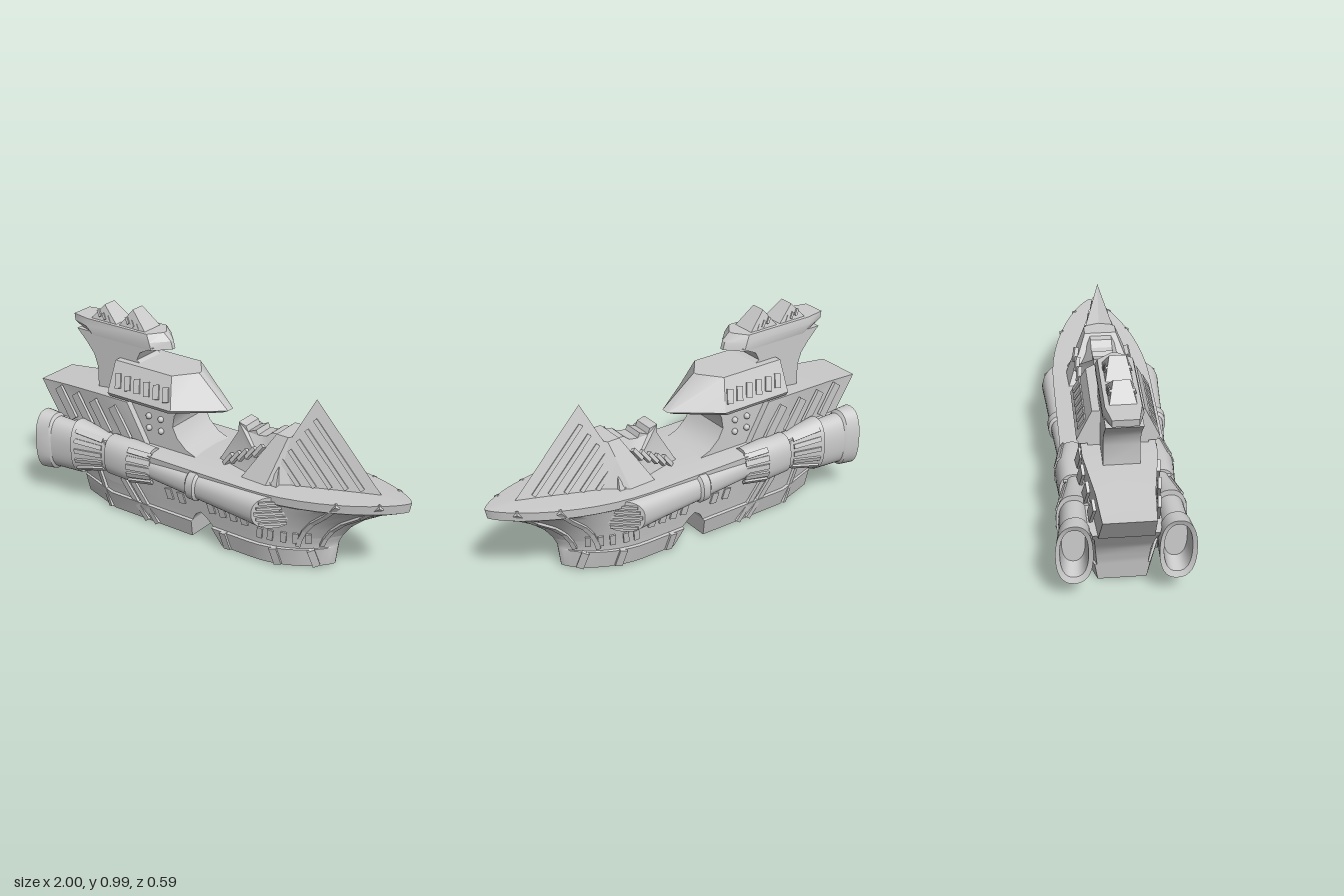
import * as THREE from 'three';
import { toCreasedNormals } from 'three/addons/utils/BufferGeometryUtils.js';

const V = (x, y, z) => new THREE.Vector3(x, y, z);
const mat = new THREE.MeshStandardMaterial({ color: 0xcccccc });
let root;

function add(name, geo, crease = 0.5) {
  const m = new THREE.Mesh(crease ? toCreasedNormals(geo, crease) : geo, mat);
  m.name = name;
  root.add(m);
  return m;
}

// Closed skin through rings of equal point count, capped at both ends
function loft(rings) {
  const pos = [], n = rings[0].length;
  const tri = (a, b, c) => pos.push(a.toArray(), b.toArray(), c.toArray());
  for (let r = 0; r < rings.length - 1; r++) for (let i = 0; i < n; i++) {
    const j = (i + 1) % n, A = rings[r], B = rings[r + 1];
    tri(A[i], A[j], B[j]);
    tri(A[i], B[j], B[i]);
  }
  [rings[0], rings.at(-1)].forEach((R, k) => {
    const c = R.reduce((s, p) => s.add(p), V(0, 0, 0)).divideScalar(n);
    for (let i = 0; i < n; i++) {
      const j = (i + 1) % n;
      k ? tri(c, R[i], R[j]) : tri(c, R[j], R[i]);
    }
  });
  // turn the skin outward if its volume comes out negative
  let vol = 0;
  for (let i = 0; i < pos.length; i += 3) vol += V(...pos[i]).dot(V(...pos[i + 1]).cross(V(...pos[i + 2])));
  if (vol < 0) pos.reverse();
  const g = new THREE.BufferGeometry();
  g.setAttribute('position', new THREE.Float32BufferAttribute(pos.flat(), 3));
  return g;
}

// Symmetric plan outline [x, halfWidth] at height y
const plan = (pts, y) => [...pts.map(([x, z]) => V(x, y, z)), ...[...pts].reverse().map(([x, z]) => V(x, y, -z))];

// Side profile extruded across z, half width given by a rule
function slab(name, pts, half) {
  const g = new THREE.ExtrudeGeometry(new THREE.Shape(pts.map(p => new THREE.Vector2(...p))), { depth: 2, bevelEnabled: false });
  const p = g.attributes.position;
  for (let i = 0; i < p.count; i++) p.setZ(i, (p.getZ(i) - 1) * half(p.getX(i), p.getY(i)));
  return add(name, g);
}

// Flat bar from p to q, lying on a surface with normal n
function bar(name, p, q, w, n, t = 0.014) {
  const d = q.clone().sub(p), x = d.clone().normalize();
  const y = n.clone().cross(x).normalize(), z = x.clone().cross(y);
  const g = new THREE.BoxGeometry(d.length(), w, t);
  g.applyMatrix4(new THREE.Matrix4().makeBasis(x, y, z).setPosition(p.clone().add(q).multiplyScalar(0.5)));
  add(name, g, 0);
}

// Linear lookup in a small table
function tab(t, v) {
  for (let i = 1; i < t.length; i++) if (v <= t[i][0] || i === t.length - 1) {
    const k = THREE.MathUtils.clamp((v - t[i - 1][0]) / (t[i][0] - t[i - 1][0]), 0, 1);
    return THREE.MathUtils.lerp(t[i - 1][1], t[i][1], k);
  }
}

// Hull rules: stern and bow position, half width and sheer
const bowX = y => tab([[0, 0.64], [0.11, 0.655], [0.15, 0.675], [0.2, 0.715], [0.25, 0.78], [0.3, 0.88], [0.325, 0.96], [0.335, 0.99], [0.375, 1]], y);
const sternX = y => tab([[0, -0.72], [0.11, -0.735], [0.2, -0.76], [0.375, -0.88]], y);
const wide = y => tab([[0, 0.178], [0.09, 0.2], [0.093, 0.185], [0.11, 0.187], [0.325, 0.218], [0.335, 0.232], [0.375, 0.235]], y);
function halfW(x, y) {
  const u = THREE.MathUtils.clamp((x - 0.3) / (bowX(y) - 0.3), 0, 1);
  const s = THREE.MathUtils.clamp((-0.5 - x) / (-0.5 - sternX(y)), 0, 1);
  return wide(y) * Math.pow(1 - u * u, 0.75) * (1 - 0.4 * s);
}
const hullPt = (x, y, s = 1) => V(x, y + 0.045 * (y / 0.375) * Math.pow(Math.max(0, (x - 0.3) / 0.7), 1.5), s * halfW(x, y));
function hullN(x, y, s) {
  const dx = hullPt(x + 0.01, y, s).sub(hullPt(x - 0.01, y, s)), dy = hullPt(x, y + 0.01, s).sub(hullPt(x, y - 0.01, s));
  return dx.cross(dy).multiplyScalar(s);
}
function hullPart(name, ys, x0, x1, mids, bow) {
  add(name, loft(ys.map(y => {
    const xs = [x0(y), ...mids];
    if (bow) for (let i = 1; i <= 12; i++) xs.push(0.3 + (bowX(y) - 0.3) * Math.sin(i / 12 * Math.PI / 2));
    else xs.push(x1(y));
    const a = xs.map(x => hullPt(x, y));
    return [...a, ...a.map(p => V(p.x, p.y, -p.z)).reverse()];
  })), 0.45);
}

// Rounded-oval ring of a side engine
const POW = 2.4;
const oval = ([x, cy, cz, ry, rz], s, slant = 0) => Array.from({ length: 32 }, (_, i) => {
  const a = i / 32 * Math.PI * 2, f = v => Math.sign(v) * Math.pow(Math.abs(v), 2 / POW);
  const dz = rz * f(Math.cos(a));
  return V(x - slant * dz, cy + ry * f(Math.sin(a)), s * (cz + dz));
});

function engine(s) {
  const body = (name, rows) => add(name, loft(rows.map(r => oval(r, s))), 0.5);
  body('nozzle', [[-0.8, 0.285, 0.215, 0.105, 0.05], [-0.88, 0.285, 0.217, 0.125, 0.06], [-0.89, 0.285, 0.217, 0.153, 0.079],
    [-0.82, 0.285, 0.212, 0.146, 0.073], [-0.81, 0.285, 0.21, 0.13, 0.068], [-0.65, 0.285, 0.205, 0.122, 0.064]]);
  body('engineHousing', [[-0.68, 0.3, 0.205, 0.135, 0.075], [-0.5, 0.3, 0.185, 0.092, 0.05], [-0.47, 0.3, 0.185, 0.09, 0.05]]);
  body('engineCowl', [[-0.49, 0.3, 0.19, 0.1, 0.066], [-0.36, 0.303, 0.195, 0.103, 0.07], [-0.24, 0.305, 0.185, 0.09, 0.055]]);
  const tube = [[-0.3, 0.305, 0.195, 0.05, 0.045], [0, 0.3, 0.207, 0.06, 0.055], [0.3, 0.295, 0.218, 0.072, 0.062]].map(r => oval(r, s));
  tube.push(oval([0.44, 0.292, 0.222, 0.077, 0.063], s, 1.1));
  add('sideTube', loft(tube));
  body('tubeCollar', [[-0.01, 0.3, 0.207, 0.06, 0.055], [0, 0.3, 0.207, 0.072, 0.067], [0.04, 0.3, 0.208, 0.074, 0.069], [0.05, 0.3, 0.208, 0.062, 0.056]]);
  // intake slats across the slanted tube mouth
  for (let i = -2; i <= 2; i++) {
    const y = 0.292 + i * 0.026, h = 0.056 - Math.abs(i) * 0.007;
    bar('intakeSlat', V(0.44 - 1.1 * h, y, s * (0.222 + h)), V(0.44 + 1.1 * h, y, s * (0.222 - h)), 0.013, V(1, 0, s * 1.1), 0.02);
  }
  // raised strips around housing and cowl mouth
  for (const k of [-0.75, -0.4, 0, 0.4, 0.75]) {
    const o = Math.pow(1 - Math.pow(Math.abs(k), POW), 1 / POW);
    const n = V(0, k, s * 1.2 * o);
    bar('housingStrip', V(-0.66, 0.3 + k * 0.131, s * (0.203 + 0.072 * o)), V(-0.52, 0.3 + k * 0.097, s * (0.188 + 0.053 * o)), 0.022, n);
    bar('cowlTooth', V(-0.35, 0.303 + k * 0.103, s * (0.194 + 0.069 * o)), V(-0.23, 0.305 + k * 0.088, s * (0.184 + 0.054 * o)), 0.026, n);
  }
}

export function createModel() {
  root = new THREE.Group();
  root.name = 'flyingShip';

  // Hull, with an arch dividing the keel
  hullPart('upperHull', [0.15, 0.2, 0.25, 0.3, 0.325, 0.335, 0.375], sternX, null, [-0.5, -0.2, 0.03, 0.3], true);
  const keelYs = [0, 0.09, 0.093, 0.11, 0.13, 0.15];
  hullPart('frontKeel', keelYs, y => tab([[0, 0.14], [0.09, 0.095], [0.13, 0.06], [0.15, 0.03]], y), null, [0.3], true);
  hullPart('rearKeel', keelYs, sternX, y => tab([[0, -0.03], [0.1, -0.02], [0.13, 0], [0.15, 0.03]], y), [-0.5, -0.2], false);

  for (const s of [1, -1]) {
    engine(s);
    const onHull = (name, x1, y1, x2, y2, w, t) =>
      bar(name, hullPt(x1, y1, s), hullPt(x2, y2, s), w, hullN((x1 + x2) / 2, (y1 + y2) / 2, s), t);
    // hull windows
    for (const x of [-0.15, -0.08, 0.09, 0.15, 0.21, 0.27]) onHull('hullWindow', x, 0.225, x + 0.012, 0.17, 0.035);
    for (const x of [0.36, 0.41, 0.47, 0.52, 0.57]) onHull('bowWindow', x, 0.18, x - 0.008, 0.125, 0.026);
    // slanted ribs on the keel
    for (const [x, d] of [[-0.6, 0.08], [-0.42, 0.13], [-0.36, 0.13]]) {
      onHull('sternRib', x, 0.2, x + d * 0.45, 0.1, 0.03, 0.024);
      onHull('keelRib', x + d * 0.45, 0.1, x + d, 0.003, 0.03, 0.024);
    }
    for (const x of [0.16, 0.42, 0.57]) onHull('keelRib', x, 0.09, x + 0.015, 0.003, 0.035, 0.02);
    // ribs sweeping up the bow
    for (const u of [0.62, 0.86]) {
      const ys = [0.11, 0.15, 0.2, 0.25, 0.3, 0.37], X = y => 0.3 + u * (bowX(y) - 0.3);
      for (let i = 1; i < ys.length; i++) onHull('bowRib', X(ys[i - 1]), ys[i - 1], X(ys[i]), ys[i], 0.022, 0.022);
    }
    // rivets
    for (const x of [-0.31, -0.24]) for (const y of [0.465, 0.525])
      add('rivet', new THREE.SphereGeometry(0.015, 12, 8), 0).position.set(x, y, s * 0.135);
    // plank seams on the stern
    for (const x of [-0.84, -0.72, -0.6, -0.48]) {
      const z = tab([[-1, 0.11], [-0.6, 0.16]], x + 0.03);
      bar('sternPlank', V(x - 0.03, 0.53, s * z), V(x + 0.07, 0.39, s * (z + 0.01)), 0.05, V(-0.12, 0, s), 0.014);
    }
    // bridge windows
    for (let i = 0; i < 6; i++) {
      const x = -0.475 + i * 0.056;
      bar('bridgeWindow', V(x - 0.008, 0.695, s * 0.136), V(x + 0.01, 0.635, s * 0.164), 0.032, V(0, 0.45, s));
    }
    // stepped row of windows behind the prow sail
    for (let i = 0; i < 5; i++) {
      const x = 0.12 + i * 0.045, y = 0.405 + i * 0.026;
      const z = yy => tab([[0.36, 0.08 + (x - 0.04) * 0.3], [0.58, 0.07 + (x - 0.04) * 0.16]], yy);
      bar('deckWindow', V(x - 0.02, y - 0.02, s * z(y - 0.02)), V(x + 0.02, y + 0.035, s * z(y + 0.035)), 0.02, V(-0.25, 0.35, s), 0.02);
    }
  }

  // Stern deck and scooped bridge base
  slab('sternDeck', [[-0.88, 0.36], [-1, 0.535], [-0.83, 0.55], [-0.6, 0.575], [-0.42, 0.575], [-0.3, 0.36]],
    x => tab([[-1, 0.11], [-0.85, 0.12], [-0.6, 0.16], [-0.3, 0.16]], x));
  slab('bridgeBase', [[-0.52, 0.36], [-0.52, 0.61], [-0.13, 0.61], [-0.165, 0.56], [-0.175, 0.5], [-0.15, 0.45], [-0.1, 0.405], [-0.03, 0.378], [0.04, 0.36]], () => 0.13);

  // Bridge with pointed front
  const lower = [[-0.52, 0.178], [-0.15, 0.178], [0.06, 0.02]];
  add('bridge', loft([plan([[-0.52, 0.165], [-0.17, 0.165], [0.02, 0.015]], 0.585), plan(lower, 0.605),
    plan([[-0.52, 0.112], [-0.19, 0.112], [-0.11, 0.01]], 0.748)]));

  // Tower: flaring neck, pointed head and two louvred crests
  slab('towerNeck', [[-0.66, 0.56], [-0.66, 0.67], [-0.68, 0.73], [-0.72, 0.78], [-0.78, 0.84], [-0.32, 0.84], [-0.4, 0.8],
    [-0.42, 0.76], [-0.38, 0.735], [-0.38, 0.6]], () => 0.078);
  add('towerHead', loft([plan([[-0.75, 0.05], [-0.68, 0.082], [-0.33, 0.082], [-0.26, 0.01]], 0.828),
    plan([[-0.81, 0.055], [-0.72, 0.084], [-0.34, 0.084], [-0.27, 0.01]], 0.865),
    plan([[-0.815, 0.055], [-0.72, 0.075], [-0.36, 0.075], [-0.31, 0.01]], 0.9)]));
  for (const x of [-0.64, -0.47]) {
    const y = x < -0.5 ? 0.975 : 0.985;
    slab('towerCrest', [[x - 0.08, 0.885], [x, y], [x + 0.095, 0.89]], (_, h) => h > 0.93 ? 0.035 : 0.06);
    for (const s of [1, -1]) for (let i = 0; i < 3; i++)
      bar('crestLouvre', V(x - 0.03 + i * 0.028, 0.945 - i * 0.01, s * 0.047), V(x - 0.012 + i * 0.028, 0.918 - i * 0.01, s * 0.054), 0.012, V(0, 0.3, s), 0.012);
  }

  // Prow sail: leaning pyramid with slats parallel to its front edge
  const A = V(0.515, 0.775, 0), F = V(0.87, 0.395, 0), B = V(0.37, 0.37, 0);
  const S = s => V(0.33, 0.37, s * 0.145);
  add('prowSail', loft([[F, S(1), B, S(-1)], [A, A, A, A]]));
  for (const s of [1, -1]) {
    const n = F.clone().sub(A).cross(S(s).sub(A)).multiplyScalar(-s);
    for (let i = 1; i <= 6; i++) {
      const t = i * 0.135;
      const p = A.clone().lerp(S(s), t), q = F.clone().lerp(S(s), t);
      bar('sailSlat', p.clone().lerp(q, 0.1), p.clone().lerp(q, 0.92), 0.02, n, 0.014);
    }
  }
  // Stepped block and crenellated walk behind the sail
  add('sailBlock', loft([plan([[0.22, 0.17], [0.36, 0.175], [0.56, 0.06]], 0.36), plan([[0.36, 0.075], [0.42, 0.075], [0.46, 0.03]], 0.595)]));
  slab('crenellatedWalk', [[0.04, 0.36], [0.14, 0.54], [0.14, 0.585], [0.18, 0.575], [0.19, 0.55], [0.235, 0.57], [0.245, 0.548],
    [0.29, 0.555], [0.32, 0.58], [0.38, 0.585], [0.42, 0.36]], (x, y) => y > 0.5 ? 0.05 : x < 0.2 ? 0.08 : 0.17);
  return root;
}
